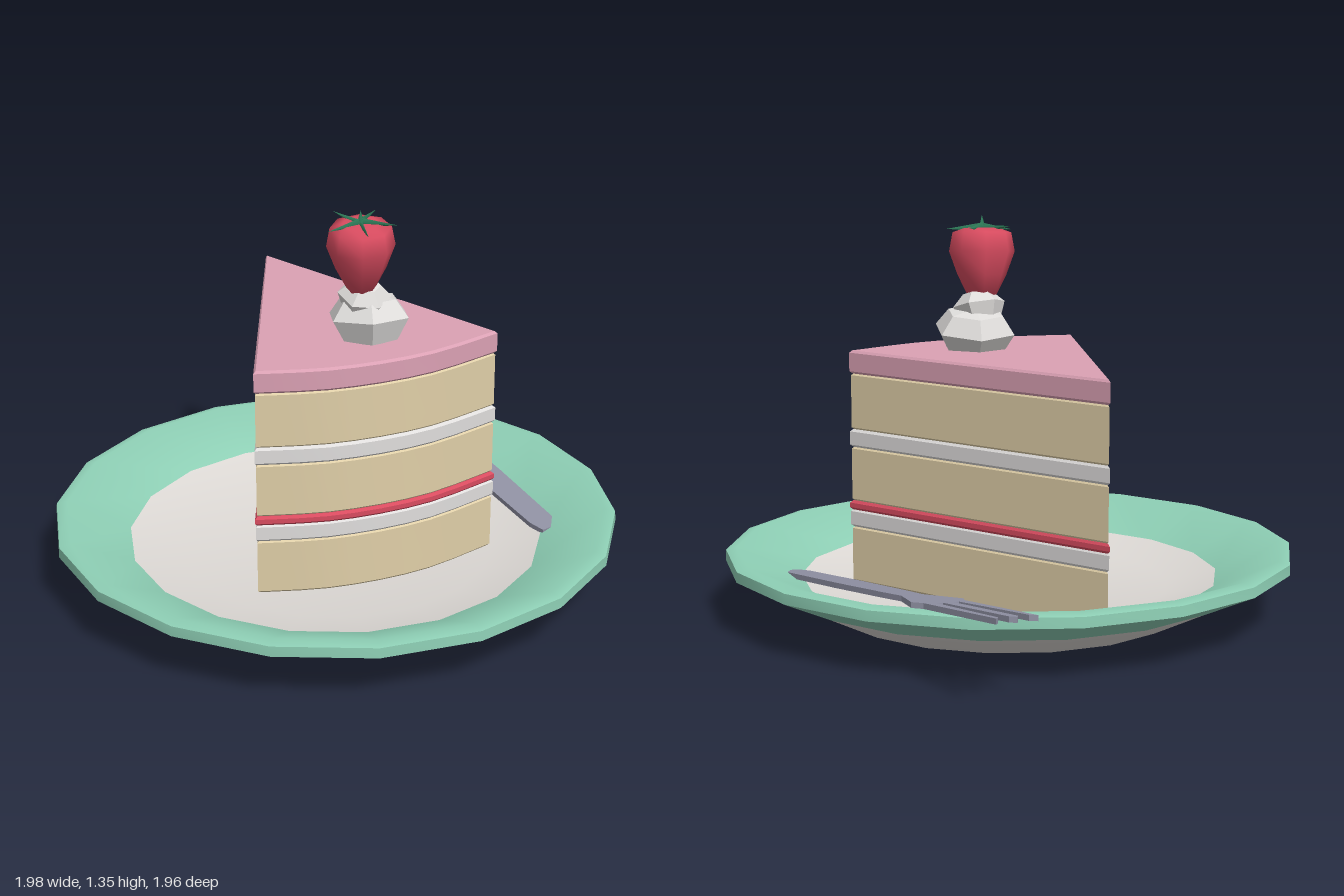
import * as THREE from 'three';
import { toCreasedNormals } from 'three/addons/utils/BufferGeometryUtils.js';

const material = (name, color, extra = {}) => {
  const m = new THREE.MeshStandardMaterial({ color, ...extra });
  m.name = name;
  return m;
};
const v2 = (list) => list.map(([x, y]) => new THREE.Vector2(x, y));

export function createModel() {
  const model = new THREE.Group();
  const green = material('mint glaze', 0x8ecfb5);
  const white = material('plate white', 0xdedad6);
  const cream = material('cream', 0xe0dedd);
  const dollop = material('whipped cream', 0xdedcda, { flatShading: true });
  const sponge = material('sponge', 0xe0cfa8);
  const pink = material('pink icing', 0xdba1b4);
  const red = material('berry red', 0xd94c60);
  const leafGreen = material('leaf green', 0x2f7d5a);
  const steel = material('steel', 0x9192a5);

  const add = (parent, name, geometry, mat) => {
    const mesh = new THREE.Mesh(geometry, mat);
    mesh.name = name;
    parent.add(mesh);
    return mesh;
  };
  const group = (name, parent = model) => {
    const g = new THREE.Group();
    g.name = name;
    parent.add(g);
    return g;
  };
  const turned = (points, sides) => toCreasedNormals(new THREE.LatheGeometry(v2(points), sides), 0.7);

  // Plate: white underside, mint rim, white well
  const plate = group('plate');
  plate.position.x = -0.02;
  add(plate, 'plateUnderside', turned([[0, 0.05], [0.5, 0.05], [0.56, 0], [0.6, 0], [0.79, 0.093]], 18), white);
  add(plate, 'plateRim', turned([[0.79, 0.093], [0.98, 0.18], [0.978, 0.215], [0.94, 0.225], [0.72, 0.125]], 18), green);
  add(plate, 'plateWell', turned([[0.72, 0.125], [0.55, 0.085], [0, 0.08]], 18), white);

  // Cake wedge outline, with z as negative shape y
  const wedge = new THREE.Shape();
  const arc = new THREE.SplineCurve(v2([[-0.485, -0.07], [-0.28, -0.245], [0, -0.38], [0.305, -0.435]]));
  wedge.moveTo(0.33, 0.65);
  arc.getPoints(10).forEach((p) => wedge.lineTo(p.x, p.y));
  wedge.closePath();

  const cake = group('cakeSlice');
  const layer = (name, bottom, top, grow, mat) => {
    const bevel = 0.008;
    const geometry = new THREE.ExtrudeGeometry(wedge, {
      depth: top - bottom - 2 * bevel, bevelEnabled: true, bevelSegments: 1,
      bevelThickness: bevel, bevelSize: bevel, bevelOffset: grow - bevel,
    });
    geometry.rotateX(-Math.PI / 2).translate(0, bottom + bevel, 0);
    add(cake, name, toCreasedNormals(geometry, 0.5), mat);
  };
  layer('bottomSponge', 0.09, 0.287, 0, sponge);
  layer('lowerCream', 0.285, 0.347, 0.004, cream);
  layer('jam', 0.345, 0.377, 0.006, red);
  layer('middleSponge', 0.375, 0.567, 0, sponge);
  layer('upperCream', 0.565, 0.627, 0.004, cream);
  layer('topSponge', 0.625, 0.822, 0, sponge);
  layer('icing', 0.82, 0.9, 0.004, pink);

  // Whipped cream: two faceted swirls
  const swirl = group('whippedCream');
  const big = add(swirl, 'lowerSwirl', new THREE.LatheGeometry(v2(
    [[0, -0.08], [0.1, -0.08], [0.145, 0], [0.1, 0.06], [0, 0.075]]), 6), dollop);
  big.position.set(0.005, 0.965, 0.13);
  big.rotation.set(-0.1, 0.3, -0.1);
  const small = add(swirl, 'upperSwirl', new THREE.LatheGeometry(v2(
    [[0, -0.05], [0.07, -0.04], [0.09, 0.01], [0.05, 0.05], [0, 0.055]]), 6), dollop);
  small.position.set(-0.02, 1.04, 0.13);
  small.rotation.set(0.15, 0.8, 0.15);

  // Strawberry, tip down, with a star of leaves
  const berry = group('strawberry');
  berry.position.set(-0.035, 1.06, 0.13);
  berry.rotation.set(0.06, 0, 0.08);
  add(berry, 'berryBody', new THREE.LatheGeometry(v2(
    [[0, 0], [0.045, 0.01], [0.085, 0.09], [0.114, 0.17], [0.102, 0.235], [0.06, 0.25], [0, 0.25]]), 8), red);
  for (let i = 0; i < 5; i++) {
    const arm = group('leaf', berry);
    arm.position.y = 0.25;
    arm.rotation.y = (i * 2 * Math.PI) / 5 + 0.3;
    const leaf = add(arm, 'leafBlade', new THREE.ConeGeometry(0.016, 0.125, 4), leafGreen);
    leaf.scale.z = 0.6;
    leaf.rotation.z = -Math.PI / 2 + (i % 2 ? 0.08 : -0.05);
    leaf.position.x = 0.06;
  }
  add(berry, 'stem', new THREE.ConeGeometry(0.014, 0.05, 5), leafGreen).position.y = 0.27;

  // Fork: flat mirrored outline with three tines, resting on the rim
  const half = [[0.03, 0], [0.045, 0.06], [0.05, 0.4], [0.045, 0.7], [0.04, 0.8], [0.095, 0.95], [0.075, 0.99],
    [0.075, 1.39], [0.055, 1.37], [0.04, 1.01], [0.018, 1.01], [0.016, 1.37], [0, 1.39]];
  const mirrored = half.slice(0, -1).reverse().map(([x, y]) => [-x, y]);
  const fork = add(model, 'fork', new THREE.ExtrudeGeometry(
    new THREE.Shape(v2([...half, ...mirrored])), { depth: 0.018, bevelEnabled: false }).rotateX(-Math.PI / 2), steel);
  fork.position.set(0.475, 0.125, 0.57);
  fork.rotation.set(0.1, -Math.atan2(0.455, 1.31), 0.08, 'YXZ');

  return model;
}
